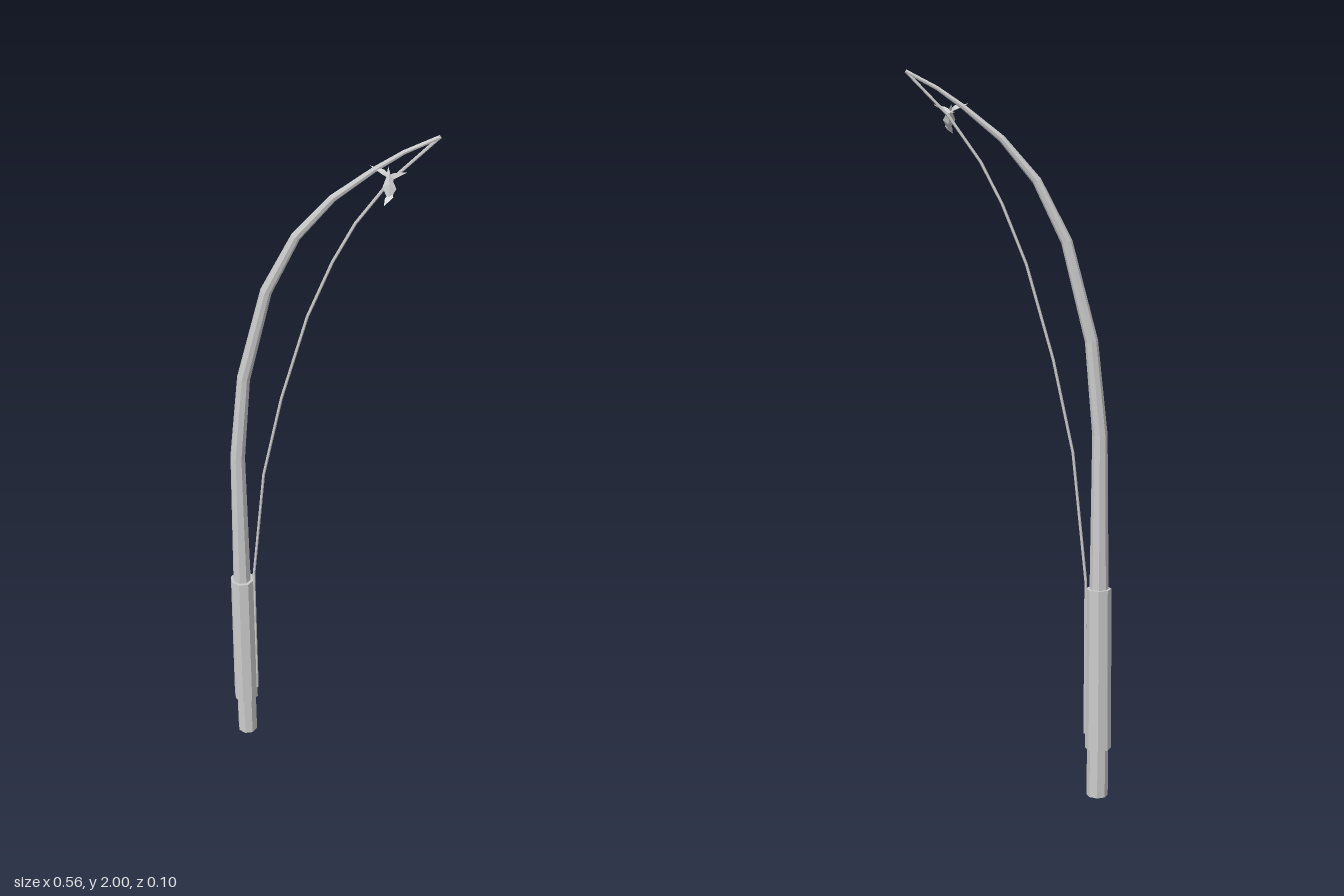
import * as THREE from 'three';

const Z = -0.012;
const mat = new THREE.MeshStandardMaterial({ color: 0xcccccc, flatShading: true, side: THREE.DoubleSide });

// Tapered faceted tube through [x, y, radius] stations in the plane z = Z
function sweep(name, stations, sides) {
  const pos = [], idx = [], n = stations.length;
  stations.forEach(([x, y, r], i) => {
    const a = stations[Math.max(i - 1, 0)], b = stations[Math.min(i + 1, n - 1)];
    const t = new THREE.Vector2(b[0] - a[0], b[1] - a[1]).normalize();
    for (let k = 0; k < sides; k++) {
      const w = (k / sides) * Math.PI * 2, c = Math.cos(w) * r;
      pos.push(x + t.y * c, y - t.x * c, Z + Math.sin(w) * r);
    }
  });
  for (let i = 0; i < n - 1; i++) {
    for (let k = 0; k < sides; k++) {
      const a = i * sides + k, b = i * sides + (k + 1) % sides;
      idx.push(a, a + sides, b, b, a + sides, b + sides);
    }
  }
  // End caps
  const e = (n - 1) * sides;
  for (let k = 1; k < sides - 1; k++) idx.push(0, k, k + 1, e, e + k + 1, e + k);
  return finish(name, pos, idx);
}

function finish(name, pos, idx) {
  let g = new THREE.BufferGeometry();
  g.setAttribute('position', new THREE.Float32BufferAttribute(pos, 3));
  g.setIndex(idx);
  g = g.toNonIndexed();
  g.computeVertexNormals();
  const m = new THREE.Mesh(g, mat);
  m.name = name;
  return m;
}

// Thin four-sided spike: a triangular mid-section between two pointed ends
function spindle(name, start, mid, end) {
  const pos = [start, ...mid, end].flat();
  const idx = [];
  const n = mid.length;
  for (let k = 0; k < n; k++) {
    const a = 1 + k, b = 1 + (k + 1) % n;
    idx.push(0, b, a, n + 1, a, b);
  }
  return finish(name, pos, idx);
}

export function createModel() {
  const group = new THREE.Group();

  // Handle: narrow butt and thicker grip
  group.add(sweep('handleButt', [[-0.245, 0, 0.03], [-0.245, 0.16, 0.03]], 8));
  group.add(sweep('grip', [[-0.246, 0.14, 0.037], [-0.244, 0.6, 0.035]], 8));

  // Bent, tapering rod
  group.add(sweep('rod', [
    [-0.245, 0.55, 0.027], [-0.243, 1.03, 0.021], [-0.218, 1.285, 0.018],
    [-0.15, 1.55, 0.0155], [-0.07, 1.71, 0.0125], [0.023, 1.82, 0.0095],
    [0.125, 1.903, 0.007], [0.195, 1.952, 0.0055], [0.278, 1.996, 0.005],
  ], 8));

  // Line sagging from the grip to the tip
  group.add(sweep('line', [
    [-0.209, 0.18, 0.004], [-0.208, 0.62, 0.004], [-0.17, 0.98, 0.004],
    [-0.115, 1.235, 0.004], [-0.042, 1.49, 0.004], [0.023, 1.65, 0.004],
    [0.08, 1.76, 0.004], [0.165, 1.88, 0.004], [0.278, 1.996, 0.004],
  ], 6));

  // Small lure near the tip: body, two swept fins and a short spike
  const lure = new THREE.Group();
  lure.name = 'lure';
  lure.add(spindle('lureBody', [0.16, 1.905, -0.005],
    [[0.15, 1.872, 0.018], [0.168, 1.885, 0.026], [0.184, 1.872, 0.02], [0.168, 1.86, 0.014]],
    [0.17, 1.845, 0.036]));
  lure.add(spindle('lureTail', [0.172, 1.868, 0.02],
    [[0.16, 1.852, 0.036], [0.18, 1.856, 0.034], [0.172, 1.846, 0.03]],
    [0.16, 1.838, 0.048]));
  lure.add(spindle('lureFinLeft', [0.15, 1.89, -0.006],
    [[0.175, 1.905, 0.004], [0.177, 1.892, 0.008], [0.172, 1.888, -0.002]],
    [0.208, 1.912, 0.01]));
  lure.add(spindle('lureFinRight', [0.175, 1.885, 0.004],
    [[0.15, 1.908, -0.004], [0.145, 1.897, 0], [0.148, 1.896, -0.01]],
    [0.112, 1.912, -0.012]));
  lure.add(spindle('lureSpike', [0.165, 1.88, 0.01],
    [[0.156, 1.9, -0.004], [0.164, 1.9, -0.004], [0.16, 1.892, -0.002]],
    [0.156, 1.91, -0.02]));
  group.add(lure);

  return group;
}
